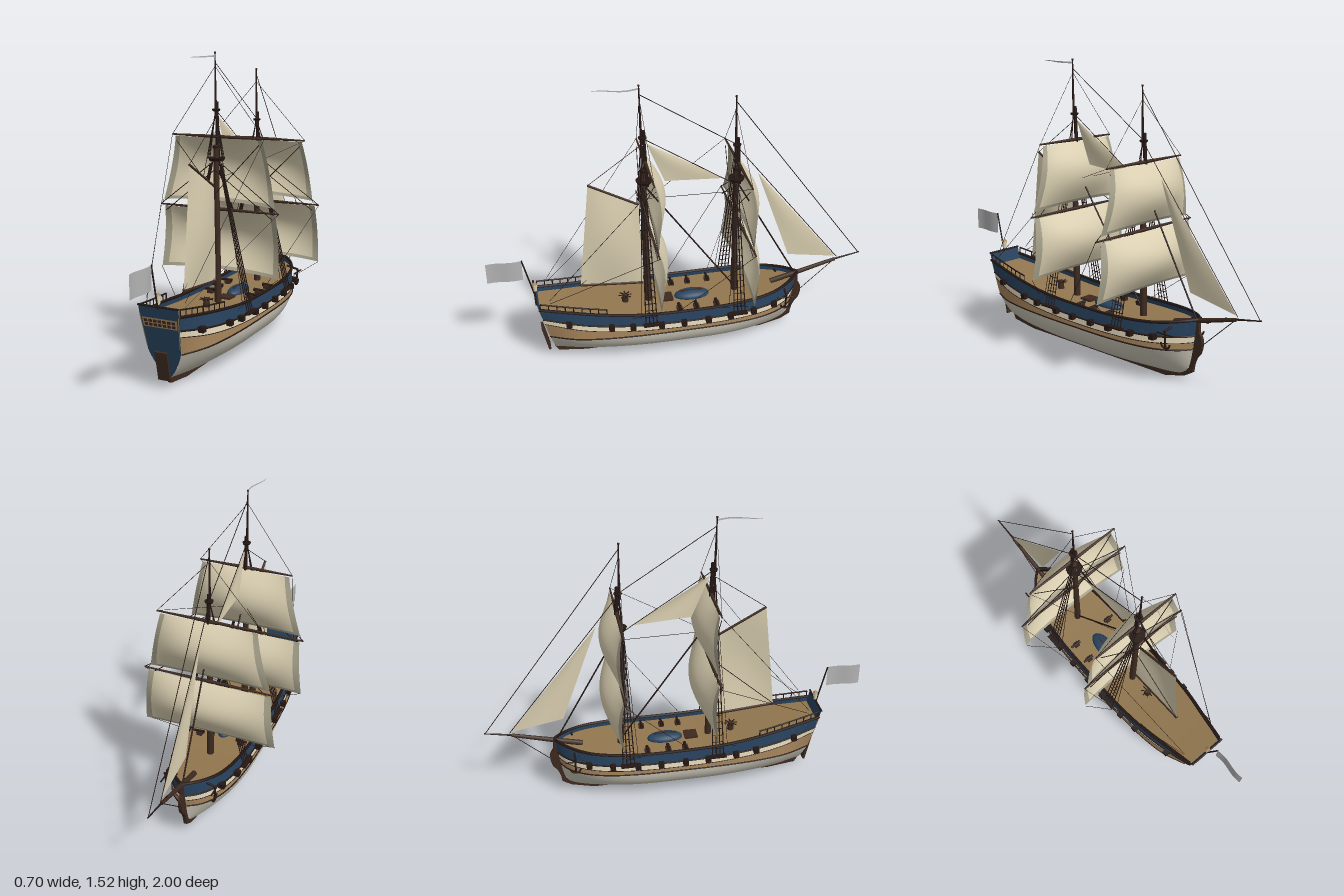
import * as THREE from 'three';

const D = THREE.DoubleSide;
const mat = (name, color, side = THREE.FrontSide) => {
  const m = new THREE.MeshStandardMaterial({ color, side });
  m.name = name;
  return m;
};
const V = (x, y, z) => new THREE.Vector3(x, y, z);
const lerp = THREE.MathUtils.lerp;

// Hull lines, sampled from bow (-z) to stern (+z)
const stations = [-0.65, -0.6, -0.5, -0.4, -0.25, 0, 0.25, 0.45, 0.6, 0.76];
const curve = (values) => {
  const c = new THREE.CubicInterpolant(stations, values, 1);
  return (z) => c.evaluate(z)[0];
};
const waleW = curve([0, 0.06, 0.125, 0.158, 0.178, 0.183, 0.18, 0.165, 0.138, 0.086]);
const topW = curve([0, 0.055, 0.12, 0.15, 0.168, 0.172, 0.17, 0.155, 0.13, 0.103]);
const topY = curve([0.335, 0.328, 0.315, 0.307, 0.3, 0.298, 0.308, 0.33, 0.348, 0.372]);
const bandY = curve([0.217, 0.215, 0.211, 0.207, 0.204, 0.202, 0.21, 0.226, 0.244, 0.27]);
const vee = curve([0.9, 0.8, 0.5, 0.25, 0.05, 0, 0.05, 0.25, 0.45, 0.6]);
const keelY = curve([0.07, 0.05, 0.03, 0.03, 0.03, 0.03, 0.03, 0.03, 0.035, 0.045]);
const WALE = 0.18;

function halfWidth(z, y) {
  if (y >= WALE) return Math.max(0, lerp(waleW(z), topW(z), Math.min(1, (y - WALE) / (topY(z) - WALE))));
  const f = Math.max(0, (y - keelY(z)) / (WALE - keelY(z)));
  return Math.max(0, waleW(z) * lerp(Math.sqrt(1 - (1 - f) ** 2), f, vee(z)));
}
// Raked ends: lower points move towards midships
function rake(z, y) {
  const h = topY(z) - y;
  if (z > 0.55) return z - h * 0.24 * (z - 0.55) / 0.21;
  if (z < -0.5) return z + h * 0.15 * ((-0.5 - z) / 0.15) ** 2;
  return z;
}
const hullPoint = (s, z, y) => V(s * halfWidth(z, y), y, rake(z, y));

// Surface from a rule; cells chosen by isEdge go to a second material group
function grid(nu, nv, fn, isEdge) {
  const pos = [], main = [], edge = [];
  for (let i = 0; i <= nu; i++) for (let j = 0; j <= nv; j++) pos.push(...fn(i / nu, j / nv).toArray());
  for (let i = 0; i < nu; i++) for (let j = 0; j < nv; j++) {
    const a = i * (nv + 1) + j, b = a + nv + 1;
    (isEdge && isEdge(i, j) ? edge : main).push(a, a + 1, b, b, a + 1, b + 1);
  }
  const g = new THREE.BufferGeometry();
  g.setAttribute('position', new THREE.Float32BufferAttribute(pos, 3));
  g.setIndex(main.concat(edge));
  g.addGroup(0, main.length, 0);
  g.addGroup(main.length, edge.length, 1);
  g.computeVertexNormals();
  return g;
}

export function createModel() {
  const root = new THREE.Group();
  const navy = mat('navy paint', 0x28435f, D), cream = mat('cream stripe', 0xe6dabd, D);
  const bottom = mat('off-white bottom', 0xcac5b6, D), tan = mat('tan paint', 0xa5835a, D);
  const deckWood = mat('deck wood', 0x92774f, D), wood = mat('dark wood', 0x3d2a20);
  const black = mat('tarred black', 0x241714), cloth = mat('sail cloth', 0xd9ceb0, D);
  const hem = mat('sail hem', 0xa6a18b, D), grey = mat('flag grey', 0xb4b4b4, D);

  const add = (name, geo, m, p) => {
    const mesh = new THREE.Mesh(geo, m);
    mesh.name = name;
    if (p) mesh.position.copy(p);
    root.add(mesh);
    return mesh;
  };
  const box = (name, w, h, d, m, p) => add(name, new THREE.BoxGeometry(w, h, d), m, p);
  // Round bar between two points
  const bar = (name, a, b, r, m = black, r2 = r) => {
    const sides = r < 0.004 ? 4 : 10;
    const mesh = add(name, new THREE.CylinderGeometry(r2, r, a.distanceTo(b), sides), m, a.clone().lerp(b, 0.5));
    mesh.quaternion.setFromUnitVectors(V(0, 1, 0), b.clone().sub(a).normalize());
  };
  const both = (fn) => [1, -1].forEach(fn);

  // Painted hull bands and their mouldings
  const Z = (u) => lerp(-0.65, 0.76, u);
  const bands = [
    ['hullBottom', keelY, () => WALE, bottom, 14], ['tanBand', () => WALE, bandY, tan, 2],
    ['creamBand', bandY, (z) => bandY(z) + 0.03, cream, 2], ['bulwark', (z) => bandY(z) + 0.03, topY, navy, 3]];
  const mouldings = [
    ['wale', () => WALE, 0.004], ['lowerMoulding', bandY, 0.002],
    ['upperMoulding', (z) => bandY(z) + 0.033, 0.005], ['gunwale', topY, 0.008]];
  both((s) => {
    for (const [name, y0, y1, m, n] of bands)
      add(name, grid(56, n, (u, v) => hullPoint(s, Z(u), lerp(y0(Z(u)), y1(Z(u)), n > 5 ? v * v : v))), m);
    for (const [name, y, r] of mouldings) {
      const pts = Array.from({ length: 30 }, (_, i) => hullPoint(s, Z(i / 29), y(Z(i / 29))));
      add(name, new THREE.TubeGeometry(new THREE.CatmullRomCurve3(pts), 60, r, 6), black);
    }
  });
  add('deck', grid(40, 2, (u, v) => {
    const z = Z(u), y = topY(z) - 0.03;
    return V((v * 2 - 1) * halfWidth(z, y), y, rake(z, y));
  }), deckWood);

  // Transom with taffrail, stern windows and rudder
  const sternPlate = (name, u0, u1, y0, y1, out, m) => add(name, grid(2, 18, (u, v) => {
    const y = lerp(y0, y1, v);
    return V(lerp(u1, u0, u) * halfWidth(0.76, y), y, rake(0.76, y) + out);
  }), m);
  sternPlate('transom', -1, 1, 0.045, 0.41, 0, navy);
  sternPlate('windowFrame', -0.9, 0.9, 0.305, 0.352, 0.003, tan);
  for (let i = 0; i < 7; i++) for (let j = 0; j < 2; j++)
    sternPlate('sternWindow', -0.81 + i * 0.24, -0.63 + i * 0.24, 0.312 + j * 0.019, 0.326 + j * 0.019, 0.006, wood);
  both((s) => sternPlate('sternTrim', s > 0 ? 0.95 : -1, s > 0 ? 1 : -0.95, 0.2, 0.37, 0.003, tan));
  bar('taffrailCap', V(-0.105, 0.41, 0.769), V(0.105, 0.41, 0.769), 0.005);
  box('rudder', 0.062, 0.145, 0.012, wood, V(0, 0.12, 0.732)).rotation.x = 0.21;

  // Keel and curved stem as one side profile
  const prof = new THREE.Shape();
  prof.moveTo(0.69, 0.055);
  prof.lineTo(0.67, 0.02);
  prof.lineTo(0.52, 0);
  prof.lineTo(-0.45, 0);
  prof.lineTo(-0.57, 0.03);
  prof.lineTo(-0.62, 0.06);
  prof.quadraticCurveTo(-0.625, 0.13, -0.66, 0.16);
  prof.quadraticCurveTo(-0.69, 0.23, -0.655, 0.27);
  prof.lineTo(-0.65, 0.33);
  prof.lineTo(-0.61, 0.32);
  prof.lineTo(-0.6, 0.08);
  prof.lineTo(-0.54, 0.034);
  prof.lineTo(0.6, 0.034);
  const keel = new THREE.ExtrudeGeometry(prof, { depth: 0.018, bevelEnabled: false, curveSegments: 8 });
  keel.translate(0, 0, -0.009).rotateY(-Math.PI / 2);
  add('keelAndStem', keel, wood);

  // Quarterdeck rails, gun ports, deck guns, channels and anchors
  both((s) => {
    const railAt = (z, h) => V(s * topW(z), topY(z) + h, z);
    for (let i = 0; i < 9; i++) {
      const z = 0.42 + i * 0.0415;
      bar('railPost', railAt(z, 0), railAt(z, 0.035), 0.003);
      if (i < 8) bar('handrail', railAt(z, 0.035), railAt(z + 0.0415, 0.035), 0.004);
    }
    for (const z of [0.62, 0.4, 0.29, 0.14, 0.02, -0.11, -0.23, -0.36, -0.48]) {
      const y = bandY(z) + 0.034;
      box('gunPort', 0.04, 0.028, 0.028, black, V(s * (halfWidth(z, y) + 0.006), y, rake(z, y)));
    }
    for (const z of [-0.17, -0.06, 0.03]) {
      box('gunCarriage', 0.03, 0.018, 0.028, wood, V(s * 0.115, 0.278, z));
      bar('gunBarrel', V(s * 0.09, 0.289, z), V(s * 0.15, 0.289, z), 0.009, black, 0.006);
    }
    for (const z of [0.19, -0.275]) box('channel', 0.03, 0.008, 0.09, black, V(s * 0.188, 0.25, z));
    bar('cathead', V(s * 0.07, 0.3, -0.55), V(s * 0.14, 0.285, -0.55), 0.006);
    bar('anchorShank', V(s * 0.135, 0.285, -0.55), V(s * 0.13, 0.2, -0.55), 0.005);
    bar('anchorStock', V(s * 0.135, 0.27, -0.6), V(s * 0.135, 0.27, -0.5), 0.004);
    const flukes = add('anchorFlukes', new THREE.TorusGeometry(0.027, 0.005, 6, 12, Math.PI), black, V(s * 0.13, 0.225, -0.55));
    flukes.rotation.set(0, Math.PI / 2, Math.PI);
  });

  // Deck fittings
  add('shipsBoat', new THREE.SphereGeometry(1, 20, 12).scale(0.046, 0.03, 0.095), navy, V(0, 0.272, -0.06));
  box('boatKeel', 0.008, 0.006, 0.12, wood, V(0, 0.3, -0.06));
  box('hatch', 0.07, 0.012, 0.07, wood, V(0, 0.274, 0.08));
  add('capstan', new THREE.CylinderGeometry(0.014, 0.018, 0.045, 10), wood, V(0, 0.305, 0.3));
  for (let i = 0; i < 4; i++) {
    const a = i * Math.PI / 4, dx = 0.035 * Math.cos(a), dz = 0.035 * Math.sin(a);
    bar('capstanBar', V(-dx, 0.322, 0.3 - dz), V(dx, 0.322, 0.3 + dz), 0.003);
  }

  // Square sail bellied forward, with a grey hem
  const squareSail = (name, z, yT, yB, wT, wB) => add(name, grid(20, 20, (u, v) => {
    const k = u * 2 - 1;
    return V(k * lerp(wT, wB, v), lerp(yT, yB, v) + 0.015 * v * (1 - k * k),
      z - 0.08 * Math.sin(Math.PI * v ** 0.9) * (1 - 0.8 * k * k) - 0.01 * v * (1 - k * k));
  }, (i, j) => i < 1 || i > 18 || j > 18), [cloth, hem]);

  // Both masts with yards, square sails, shrouds and lifts
  const masts = [
    { name: 'main', z0: 0.175, z1: 0.2, h: 1.515, top: 1.0, cap: 1.24, yards: [[0.75, 0.325, 0.425, 0.305, 0.325], [1.11, 0.25, 0.775, 0.235, 0.305]] },
    { name: 'fore', z0: -0.297, z1: -0.275, h: 1.415, top: 0.96, cap: 1.15, yards: [[0.715, 0.35, 0.41, 0.325, 0.35], [1.05, 0.27, 0.735, 0.25, 0.315]] }];
  for (const m of masts) {
    const at = (y, dz = 0, x = 0) => V(x, y, lerp(m.z0, m.z1, (y - 0.28) / (m.h - 0.28)) + dz);
    bar(m.name + 'LowerMast', at(0.26), at(m.top + 0.07), 0.018, wood, 0.013);
    bar(m.name + 'Topmast', at(m.top - 0.03, -0.018), at(m.cap + 0.04, -0.012), 0.011, black, 0.008);
    bar(m.name + 'Pole', at(m.cap - 0.03), at(m.h), 0.007, black, 0.003);
    add(m.name + 'Truck', new THREE.SphereGeometry(0.006, 8, 6), black, at(m.h));
    add(m.name + 'Top', new THREE.CylinderGeometry(0.042, 0.034, 0.016, 12), black, at(m.top, -0.004));
    add(m.name + 'Cap', new THREE.CylinderGeometry(0.022, 0.022, 0.012, 8), black, at(m.top + 0.06, -0.008));
    add(m.name + 'Crosstrees', new THREE.CylinderGeometry(0.022, 0.018, 0.01, 8), black, at(m.cap, -0.006));
    m.yards.forEach(([y, w, yB, wT, wB], i) => {
      const z = at(y).z - 0.014;
      squareSail(m.name + (i ? 'Topsail' : 'Course'), z - 0.006, y - 0.008, yB, wT, wB);
      both((s) => {
        const tip = V(s * w, y, z);
        bar(m.name + 'Yard', V(0, y, z), tip, 0.009, wood, 0.004);
        bar('lift', tip, i ? at(m.h - 0.065) : at(m.top), i ? 0.0012 : 0.002);
        bar('sheet', V(s * wB, yB, z), i ? V(s * m.yards[0][1] * 0.95, m.yards[0][0], z) : hullPoint(s, z + 0.12, 0.29), 0.0012);
        bar('brace', tip, m.name === 'main' ? V(s * 0.1, i ? 0.42 : 0.4, 0.7) : i ? at(0.9, 0.45) : V(s * 0.175, 0.3, 0.05), 0.0012);
        bar('buntline', V(s * w * 0.9, y - 0.03, z + 0.004), at(i ? y - 0.28 : y + 0.2, 0.02), 0.002);
      });
    });
    both((s) => {
      const foot = (i) => V(s * 0.185, 0.255, m.z0 - 0.012 + i * 0.02), head = at(m.top - 0.02, 0, s * 0.025);
      for (let i = 0; i < 4; i++) bar('shroud', foot(i), head.clone().setZ(head.z - 0.008 + i * 0.008), 0.003);
      for (let k = 1; k < 18; k++) bar('ratline', foot(0).lerp(head, k / 20), foot(3).lerp(head, k / 20), 0.002);
      for (let i = 0; i < 3; i++) bar('topmastShroud', at(m.top, i * 0.012 - 0.01, s * 0.04), at(m.cap), 0.002);
      bar('backstay', at(m.cap), hullPoint(s, m.z0 + 0.07, 0.29), 0.0015);
    });
  }

  // Fore-and-aft sails: corner quads with sideways belly
  const staySail = (name, a, b, c, d, belly) => add(name, grid(16, 16, (u, v) => {
    const p = a.clone().lerp(b, u).lerp(d.clone().lerp(c, u), v);
    p.x += belly * Math.sin(Math.PI * u) * Math.sin(Math.PI * v);
    return p;
  }), cloth);
  const peak = V(0, 1.01, 0.465), throat = V(0, 0.87, 0.215), tack = V(0, 0.39, 0.2), clew = V(0, 0.42, 0.53);
  staySail('spanker', peak, throat, tack, clew, 0.025);
  bar('gaff', throat, peak, 0.006, wood);
  bar('boom', tack, clew, 0.007, wood);
  const sHead = V(0, 1.21, 0.17);
  staySail('staysail', sHead, V(0, 0.97, -0.225), V(0, 0.99, 0.08), sHead, 0.006);
  const jHead = V(0, 0.98, -0.4);
  staySail('jib', jHead, V(0, 0.405, -0.86), V(0, 0.455, -0.59), jHead, 0.006);

  // Bowsprit and fore-and-aft stays
  bar('bowsprit', V(0, 0.29, -0.5), V(0, 0.385, -0.86), 0.015, wood, 0.009);
  bar('jibBoom', V(0, 0.375, -0.8), V(0, 0.412, -1), 0.006, black, 0.003);
  [[1.39, -0.275, 0.41, -0.995, 0.002], [1.15, -0.28, 0.4, -0.87, 0.002], [0.98, -0.27, 0.335, -0.63, 0.004],
    [1.47, 0.2, 1.16, -0.275, 0.002], [1.24, 0.19, 0.93, -0.28, 0.002], [0.97, 0.18, 0.3, -0.29, 0.004],
    [1.01, 0.465, 1.2, 0.2, 0.0015], [0.42, 0.53, 0.72, 0.2, 0.002], [0.385, -0.86, 0.2, -0.66, 0.002]]
    .forEach(([y0, z0, y1, z1, r]) => bar('stay', V(0, y0, z0), V(0, y1, z1), r));

  // Stern lantern, flag on its staff, masthead pennant
  add('lantern', new THREE.CylinderGeometry(0.014, 0.009, 0.04, 8), cream, V(0, 0.442, 0.765));
  add('lanternCap', new THREE.ConeGeometry(0.014, 0.014, 8), tan, V(0, 0.469, 0.765));
  bar('flagstaff', V(0, 0.4, 0.77), V(0, 0.615, 0.82), 0.004);
  add('flag', grid(16, 2, (u, v) => V(0.005 * Math.sin(u * 6), lerp(0.615, 0.5, v), 0.82 + 0.18 * u)), grey);
  add('pennant', grid(20, 1, (u, v) => V(0.015 * Math.sin(u * 5), 1.5 + (v - 0.5) * 0.01 * (1 - 0.7 * u), 0.2 + 0.22 * u)), grey);
  return root;
}
